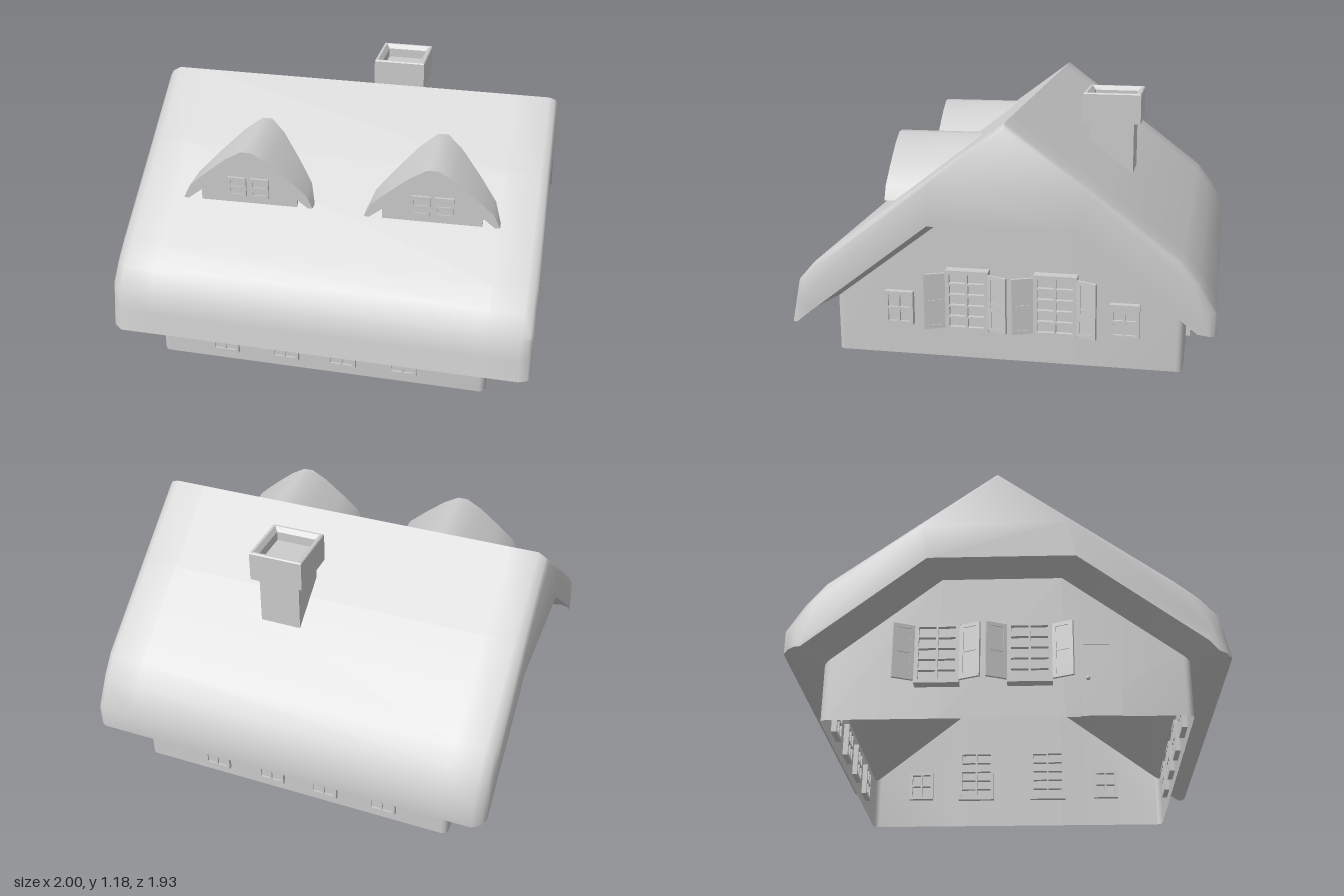
import * as THREE from 'three';
import { toCreasedNormals } from 'three/addons/utils/BufferGeometryUtils.js';

const grey = new THREE.MeshStandardMaterial({ color: 0xcccccc });
const greyBoth = new THREE.MeshStandardMaterial({ color: 0xcccccc, side: THREE.DoubleSide });

function add(parent, name, geometry, x = 0, y = 0, z = 0, material = grey) {
  const mesh = new THREE.Mesh(geometry, material);
  mesh.name = name;
  mesh.position.set(x, y, z);
  parent.add(mesh);
  return mesh;
}

const polygon = (pts) => new THREE.Shape(pts.map(([x, y]) => new THREE.Vector2(x, y)));
const rect = (x0, y0, x1, y1) => polygon([[x0, y0], [x1, y0], [x1, y1], [x0, y1]]);
const extrude = (shape, depth) => new THREE.ExtrudeGeometry(shape, { depth, bevelEnabled: false });

function makeGeometry(positions, indices, crease) {
  const g = new THREE.BufferGeometry();
  g.setAttribute('position', new THREE.Float32BufferAttribute(positions, 3));
  g.setIndex(indices);
  return toCreasedNormals(g, crease);
}

// Frame with a grid of recessed panes, centred, facing +z; back is its reach behind the wall
function panedFrame(name, w, h, cols, rows, border, depth, back = 0.025) {
  const group = new THREE.Group();
  group.name = name;
  const bar = 0.01;
  const pw = (w - 2 * border - (cols - 1) * bar) / cols;
  const ph = (h - 2 * border - (rows - 1) * bar) / rows;
  const shape = rect(-w / 2, -h / 2, w / 2, h / 2);
  for (let c = 0; c < cols; c++) {
    for (let r = 0; r < rows; r++) {
      const x = -w / 2 + border + c * (pw + bar);
      const y = -h / 2 + border + r * (ph + bar);
      shape.holes.push(rect(x, y, x + pw, y + ph));
    }
  }
  add(group, 'frame', extrude(shape, depth + back), 0, 0, -back);
  add(group, 'pane', new THREE.BoxGeometry(w - 0.01, h - 0.01, depth * 0.6), 0, 0, depth * 0.3);
  return group;
}

function place(parent, object, x, y, z, turn = 0) {
  object.position.set(x, y, z);
  object.rotation.y = turn;
  parent.add(object);
}

// Tall gable window with a pair of thin, half-open shutters
function shutteredWindow() {
  const group = new THREE.Group();
  group.name = 'shutteredWindow';
  group.add(panedFrame('window', 0.2, 0.29, 2, 5, 0.018, 0.05));
  for (const side of [-1, 1]) {
    const hinge = new THREE.Group();
    hinge.name = 'shutterHinge';
    place(hinge, panedFrame('shutter', 0.098, 0.265, 1, 2, 0.018, 0.009, 0.003), side * 0.049, 0, 0);
    place(group, hinge, side * 0.103, 0, 0.045, -side * 0.4);
  }
  return group;
}

// Thatched roof lofted along x from (z, y) sections; its underside is also the ceiling
function roofGeometry() {
  const outer = [[0.965, 0.2], [0.945, 0.3], [0.925, 0.4], [0.85, 0.485], [0.76, 0.56], [0.3, 0.905],
    [-0.04, 1.16], [-0.4, 0.89], [-0.81, 0.58], [-0.885, 0.49], [-0.965, 0.36], [-0.965, 0.25]];
  const inner = [[-0.82, 0.27], [-0.3, 0.69], [0.25, 0.69], [0.8, 0.27]];
  const flared = [[-0.895, 0.26], [-0.36, 0.69], [0.32, 0.69], [0.875, 0.26]];
  // x, inset of the outline, flare of the opening, skew of x along z
  const stations = [[-1, 0.06, 0.85, 0], [-0.985, 0.03, 0.85, 0], [-0.945, 0, 0.85, 0], [-0.8, 0, 0, 0],
    [0.79, 0, 0, 0], [0.945, 0, 0.85, 0], [0.975, 0.012, 0.85, 0.01], [0.987, 0.035, 0.85, 0.012]];
  const sections = stations.map(([, inset, flare]) => [
    ...outer.map(([z, y]) => [z + inset * (-0.04 - z), y + inset * (0.4 - y)]),
    ...inner.map(([z, y], i) => [z + flare * (flared[i][0] - z), y + flare * (flared[i][1] - y)]),
  ]);
  const n = sections[0].length;
  const positions = sections.flatMap((s, i) => s.flatMap(([z, y]) => [stations[i][0] + stations[i][3] * z, y, z]));
  const indices = [];
  for (let i = 0; i < sections.length - 1; i++) {
    for (let j = 0; j < n; j++) {
      const a = i * n + j, b = i * n + (j + 1) % n;
      indices.push(a, a + n, b, b, a + n, b + n);
    }
  }
  const last = (sections.length - 1) * n;
  const cap = (s) => THREE.ShapeUtils.triangulateShape(s.map(([z, y]) => new THREE.Vector2(z, y)), []);
  for (const [a, b, c] of cap(sections[0])) indices.push(a, b, c);
  for (const [a, b, c] of cap(sections.at(-1))) indices.push(last + a, last + c, last + b);
  return makeGeometry(positions, indices, 0.8);
}

// Open-bottomed walls: a rounded plan raised to the underside of the roof
function wallGeometry() {
  const x0 = -0.8, x1 = 0.79, z0 = -0.82, z1 = 0.81, r = 0.03;
  const plan = [];
  const corner = (cx, cz, start) => {
    for (let i = 0; i <= 4; i++) {
      const t = start + i * Math.PI / 8;
      plan.push([cx + r * Math.cos(t), cz + r * Math.sin(t)]);
    }
  };
  corner(x1 - r, z1 - r, 0);
  corner(x0 + r, z1 - r, Math.PI / 2);
  plan.push([x0, 0.25], [x0, -0.3]);
  corner(x0 + r, z0 + r, Math.PI);
  corner(x1 - r, z0 + r, Math.PI * 1.5);
  plan.push([x1, -0.3], [x1, 0.25]);
  const height = (z) => Math.min(0.69, 0.27 + (0.8 - z) * 0.764, 0.27 + (0.82 + z) * 0.808) + 0.01;
  const positions = plan.flatMap(([x, z]) => [x, 0, z, x, height(z), z]);
  const indices = [];
  plan.forEach((_, i) => {
    const a = 2 * i, b = 2 * ((i + 1) % plan.length);
    indices.push(a, a + 1, b, b, a + 1, b + 1);
  });
  return makeGeometry(positions, indices, 0.6);
}

// Square chimney cap with a chamfered rim and a shallow recess
function chimneyCapGeometry() {
  const profile = [[0, 0], [0.13, 0], [0.13, 0.14], [0.125, 0.145], [0.115, 0.145], [0.098, 0.125], [0.098, 0.08], [0, 0.08]];
  const points = profile.map(([half, y]) => new THREE.Vector2(half * Math.SQRT2, y));
  const g = new THREE.LatheGeometry(points, 4, Math.PI / 4);
  g.scale(1, 1, 1.07);
  return toCreasedNormals(g, 0.1);
}

// Dormer with a thick thatched hood, faced with a small wall and two windows
function dormer() {
  const group = new THREE.Group();
  group.name = 'dormer';
  const half = [[0.025, 1.008], [0.1, 0.965], [0.2, 0.885], [0.285, 0.81], [0.317, 0.745],
    [0.295, 0.742], [0.2, 0.815], [0.14, 0.86], [0.1, 0.88]];
  const mirrored = half.map(([x, y]) => [-x, y]).reverse();
  const hood = extrude(polygon([...half, ...mirrored]), 0.47);
  add(group, 'dormerRoof', toCreasedNormals(hood, 0.6), 0, 0, 0.1);
  const face = polygon([[-0.235, 0.73], [0.235, 0.73], [0.235, 0.78], [0.11, 0.885], [-0.11, 0.885], [-0.235, 0.78]]);
  add(group, 'dormerWall', extrude(face, 0.25), 0, 0, 0.295);
  for (const x of [-0.055, 0.055]) {
    place(group, panedFrame('dormerWindow', 0.09, 0.1, 1, 2, 0.014, 0.012), x, 0.815, 0.545);
  }
  return group;
}

export function createModel() {
  const house = new THREE.Group();
  house.name = 'cottage';
  add(house, 'walls', wallGeometry(), 0, 0, 0, greyBoth);
  add(house, 'roof', roofGeometry());

  // Dormers on the front slope
  for (const x of [-0.427, 0.459]) place(house, dormer(), x, 0, 0, 0.03);

  // Chimney
  add(house, 'chimneyStack', new THREE.BoxGeometry(0.2, 0.46, 0.21), 0.16, 0.82, -0.425);
  add(house, 'chimneyCap', chimneyCapGeometry(), 0.16, 1.04, -0.425);

  // Low windows along the front and back
  for (const x of [-0.475, -0.175, 0.105, 0.4]) {
    place(house, panedFrame('frontWindow', 0.135, 0.16, 2, 2, 0.016, 0.02), x, 0.13, 0.81);
    place(house, panedFrame('backWindow', 0.135, 0.16, 2, 2, 0.016, 0.02), x, 0.13, -0.82, Math.PI);
  }

  // Left gable: two shuttered windows between two small ones
  for (const z of [0.17, -0.24]) place(house, shutteredWindow(), 0.79, 0.295, z, Math.PI / 2);
  for (const z of [0.5, -0.555]) {
    place(house, panedFrame('smallWindow', 0.135, 0.16, 2, 2, 0.016, 0.03), 0.79, 0.235, z, Math.PI / 2);
  }

  // Right gable: two shuttered windows and the door
  for (const z of [0.1, -0.31]) place(house, shutteredWindow(), -0.8, 0.295, z, -Math.PI / 2);
  const door = panedFrame('door', 0.18, 0.36, 1, 1, 0.018, 0.01, 0.008);
  add(door, 'doorHandle', new THREE.SphereGeometry(0.01, 12, 8), -0.055, 0, 0.01);
  place(house, door, -0.8, 0.18, 0.41, -Math.PI / 2);

  return house;
}
